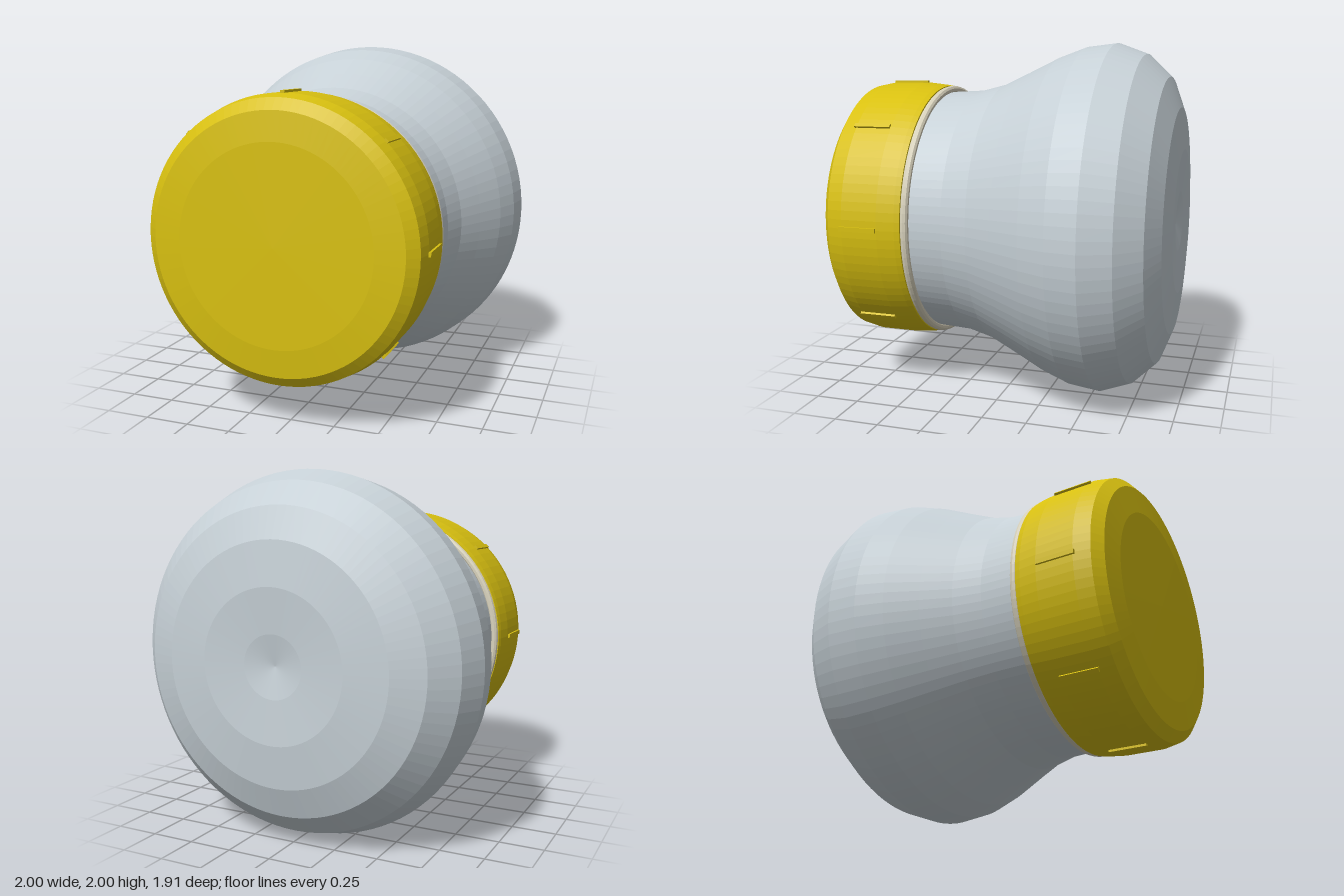
import * as THREE from 'three';

const SEGMENTS = 96;

function material(name, color) {
  const m = new THREE.MeshStandardMaterial({ color, flatShading: true });
  m.name = name;
  return m;
}

// Turned part along z; the profile holds [radius, z] pairs from back to front.
function turned(name, profile, mat) {
  const points = profile.map(([r, z]) => new THREE.Vector2(r, z));
  const geometry = new THREE.LatheGeometry(points, SEGMENTS);
  geometry.rotateX(Math.PI / 2);
  const mesh = new THREE.Mesh(geometry, mat);
  mesh.name = name;
  return mesh;
}

export function createModel() {
  const grey = material('pale grey', 0xc6d0d6);
  const yellow = material('yellow', 0xd8c010);
  const cream = material('cream', 0xd8d2bc);

  const model = new THREE.Group();
  model.name = 'cappedJar';
  const jar = new THREE.Group();
  jar.name = 'jar';
  jar.position.y = 1;
  model.add(jar);

  // Flared body with a shallow dimple in its base
  jar.add(turned('body', [
    [0, -0.91], [0.17, -0.94], [0.41, -0.955], [0.645, -0.93],
    [0.815, -0.865], [0.94, -0.735], [1, -0.57], [0.98, -0.405],
    [0.925, -0.255], [0.84, -0.08], [0.765, 0.08], [0.725, 0.235],
    [0.715, 0.42], [0.715, 0.47],
  ], grey));

  // Sealing ring between body and cap
  const seal = new THREE.Mesh(new THREE.TorusGeometry(0.728, 0.023, 10, SEGMENTS), cream);
  seal.name = 'sealRing';
  seal.position.z = 0.442;
  jar.add(seal);

  // Screw cap
  jar.add(turned('cap', [
    [0, 0.46], [0.75, 0.46], [0.757, 0.49], [0.768, 0.59], [0.768, 0.8],
    [0.75, 0.89], [0.69, 0.937], [0.535, 0.952], [0, 0.955],
  ], yellow));

  // Grip ribs around the cap
  const ribGeometry = new THREE.BoxGeometry(0.05, 0.025, 0.215);
  for (let i = 0; i < 8; i++) {
    const angle = (i * Math.PI) / 4;
    const rib = new THREE.Mesh(ribGeometry, yellow);
    rib.name = 'gripRib';
    rib.position.set(0.755 * Math.cos(angle), 0.755 * Math.sin(angle), 0.7025);
    rib.rotation.z = angle;
    jar.add(rib);
  }
  return model;
}
